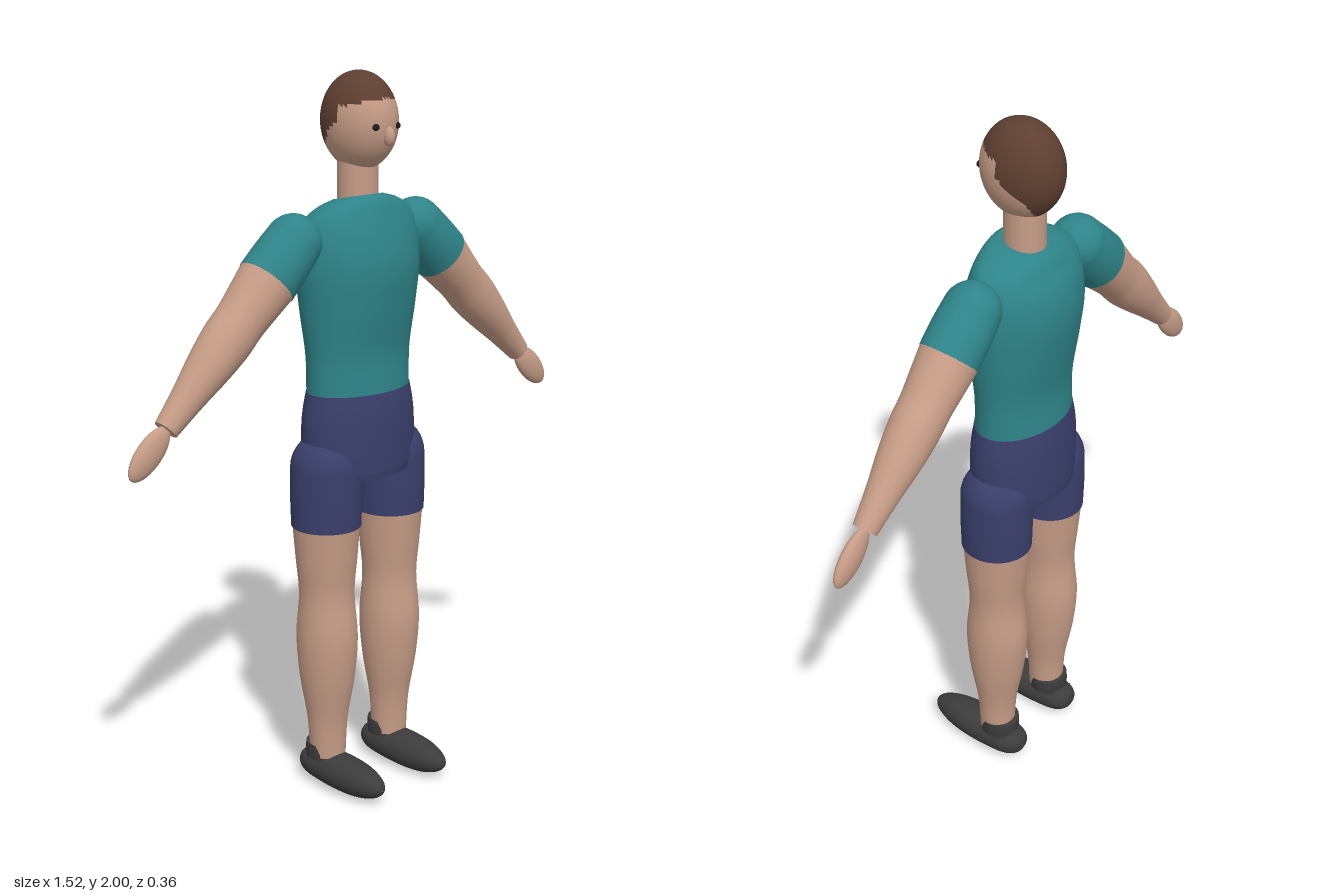
import * as THREE from 'three';

const mat = (name, color) => {
  const m = new THREE.MeshStandardMaterial({ color });
  m.name = name;
  return m;
};

// Smooth closed tube of elliptical sections; rows are [height, half width, half depth]
function loft(rows, { steps = 5, capStart = false, capEnd = false, seg = 40 } = {}) {
  const curve = new THREE.CatmullRomCurve3(rows.map(r => new THREE.Vector3(r[0], r[1], r[2] ?? r[1])));
  const rings = [];
  for (let i = 0; i < rows.length - 1; i++)
    for (let k = 0; k < steps; k++) rings.push(curve.getPoint((i + k / steps) / (rows.length - 1)));
  rings.push(curve.getPoint(1));
  const flat = r => [new THREE.Vector3(r.x, 0, 0), r.clone()];
  if (capStart) rings.unshift(...flat(rings[0]));
  if (capEnd) rings.push(...flat(rings[rings.length - 1]).reverse());
  const pos = [], idx = [];
  rings.forEach((r, i) => {
    for (let j = 0; j < seg; j++) {
      const a = (j / seg) * Math.PI * 2;
      pos.push(r.y * Math.sin(a), r.x, r.z * Math.cos(a));
      if (i === rings.length - 1) continue;
      const p = i * seg + j, q = i * seg + (j + 1) % seg;
      idx.push(p, q, q + seg, p, q + seg, p + seg);
    }
  });
  const g = new THREE.BufferGeometry();
  g.setAttribute('position', new THREE.Float32BufferAttribute(pos, 3));
  g.setIndex(idx);
  g.computeVertexNormals();
  return g;
}

export function createModel() {
  const skin = mat('skin', 0xc69c86), teal = mat('teal shirt', 0x2e8489);
  const navy = mat('navy shorts', 0x3a3f6b), brown = mat('brown hair', 0x5e3f31);
  const charcoal = mat('charcoal shoe', 0x3c3c3c), black = mat('black eye', 0x1c1c20);
  const model = new THREE.Group();
  const add = (parent, name, geo, material, x = 0, y = 0, z = 0) => {
    const m = new THREE.Mesh(geo, material);
    m.name = name;
    m.position.set(x, y, z);
    parent.add(m);
    return m;
  };
  const ball = (parent, name, material, p, s) => {
    const m = add(parent, name, new THREE.SphereGeometry(1, 32, 20), material, ...p);
    m.scale.set(...s);
    return m;
  };
  const Z = -0.05; // depth of the body axis

  // Shirt body, with the collar tipped slightly up at the front
  const shirt = loft([[1.15, 0.163, 0.106], [1.25, 0.167, 0.102], [1.38, 0.182, 0.121], [1.49, 0.191, 0.132],
    [1.57, 0.187, 0.119], [1.625, 0.168, 0.097], [1.655, 0.12, 0.083], [1.67, 0.066, 0.066]], { capEnd: true });
  const sp = shirt.attributes.position;
  for (let i = 0; i < sp.count; i++) {
    const w = THREE.MathUtils.smoothstep(sp.getY(i), 1.55, 1.67);
    sp.setY(i, sp.getY(i) + w * sp.getZ(i) * 0.2);
  }
  shirt.computeVertexNormals();
  add(model, 'shirt', shirt, teal, 0, 0, Z);

  // Hips of the shorts
  add(model, 'hips', loft([[0.915, 0.17, 0.115], [0.94, 0.178, 0.118], [1.05, 0.18, 0.118], [1.1, 0.175, 0.115],
    [1.15, 0.165, 0.108]], { capStart: true, capEnd: true }), navy, 0, 0, Z);

  // Neck and head
  add(model, 'neck', new THREE.CylinderGeometry(0.054, 0.056, 0.2, 32), skin, 0, 1.71, Z);
  const head = new THREE.SphereGeometry(1, 48, 40);
  head.scale(0.093, 0.13, 0.116);
  head.translate(0, 1.87, -0.043);
  const hairLine = z => z > -0.03 ? 1.915 + Math.max(0, z) * 0.3
    : z > -0.105 ? 1.875 + (z + 0.03) * 0.85 : 1.755;
  const hp = head.attributes.position, face = [], hair = [];
  for (let i = 0; i < head.index.count; i += 3) {
    const t = [0, 1, 2].map(k => head.index.getX(i + k));
    const mean = f => t.reduce((s, v) => s + f(v), 0) / 3;
    const isHair = mean(v => hp.getY(v)) > hairLine(mean(v => hp.getZ(v)));
    (isHair ? hair : face).push(...t);
  }
  head.setIndex([...face, ...hair]);
  head.clearGroups();
  head.addGroup(0, face.length, 0);
  head.addGroup(face.length, hair.length, 1);
  add(model, 'headAndHair', head, [skin, brown]);
  ball(model, 'nose', skin, [0, 1.837, 0.07], [0.014, 0.026, 0.019]);

  for (const s of [1, -1]) {
    const side = s > 0 ? 'left' : 'right';
    ball(model, side + 'Eye', black, [s * 0.037, 1.862, 0.062], [0.011, 0.009, 0.007]);

    // Arm, built along its own y axis from the shoulder to the hand
    const arm = new THREE.Group();
    arm.name = side + 'Arm';
    arm.position.set(s * 0.22, 1.57, -0.056);
    arm.rotation.z = -s * Math.PI * 0.75;
    model.add(arm);
    ball(arm, 'shoulder', teal, [0, 0, 0], [0.076, 0.076, 0.076]);
    add(arm, 'sleeve', loft([[0, 0.076], [0.06, 0.08], [0.13, 0.083, 0.079]], { capEnd: true }), teal);
    add(arm, 'forearm', loft([[0.125, 0.082, 0.078], [0.2, 0.073], [0.26, 0.068], [0.32, 0.069, 0.066],
      [0.4, 0.06], [0.5, 0.045], [0.6, 0.033]], { capEnd: true }), skin);
    ball(arm, 'hand', skin, [0, 0.675, 0], [0.039, 0.083, 0.021]);

    // Leg with shorts, sock and shoe
    const leg = new THREE.Group();
    leg.name = side + 'Leg';
    leg.position.set(s * 0.119, 0, Z);
    model.add(leg);
    ball(leg, 'thighTop', navy, [0, 0.94, 0], [0.097, 0.1, 0.099]);
    add(leg, 'shortsLeg', loft([[0.777, 0.096, 0.098], [0.86, 0.098, 0.1], [0.94, 0.097, 0.099]],
      { capStart: true }), navy);
    add(leg, 'leg', loft([[0.09, 0.051, 0.05], [0.2, 0.058, 0.056], [0.33, 0.077, 0.079], [0.45, 0.084, 0.089],
      [0.58, 0.078, 0.077], [0.68, 0.086, 0.085], [0.785, 0.093, 0.095]], { capStart: true }), skin);
    add(leg, 'sock', loft([[0.08, 0.055], [0.102, 0.056], [0.125, 0.055]],
      { capStart: true, capEnd: true }), charcoal, 0, 0, -0.01);
    const shoe = add(leg, 'shoe', loft([[-0.145, 0.001], [-0.138, 0.03, 0.025], [-0.11, 0.048, 0.041],
      [-0.04, 0.057, 0.048], [0.05, 0.056, 0.049], [0.11, 0.046, 0.043], [0.155, 0.03, 0.028],
      [0.174, 0.015, 0.014], [0.18, 0.001]]), charcoal, 0, 0.05, -Z);
    shoe.rotation.x = Math.PI / 2;
  }
  return model;
}
